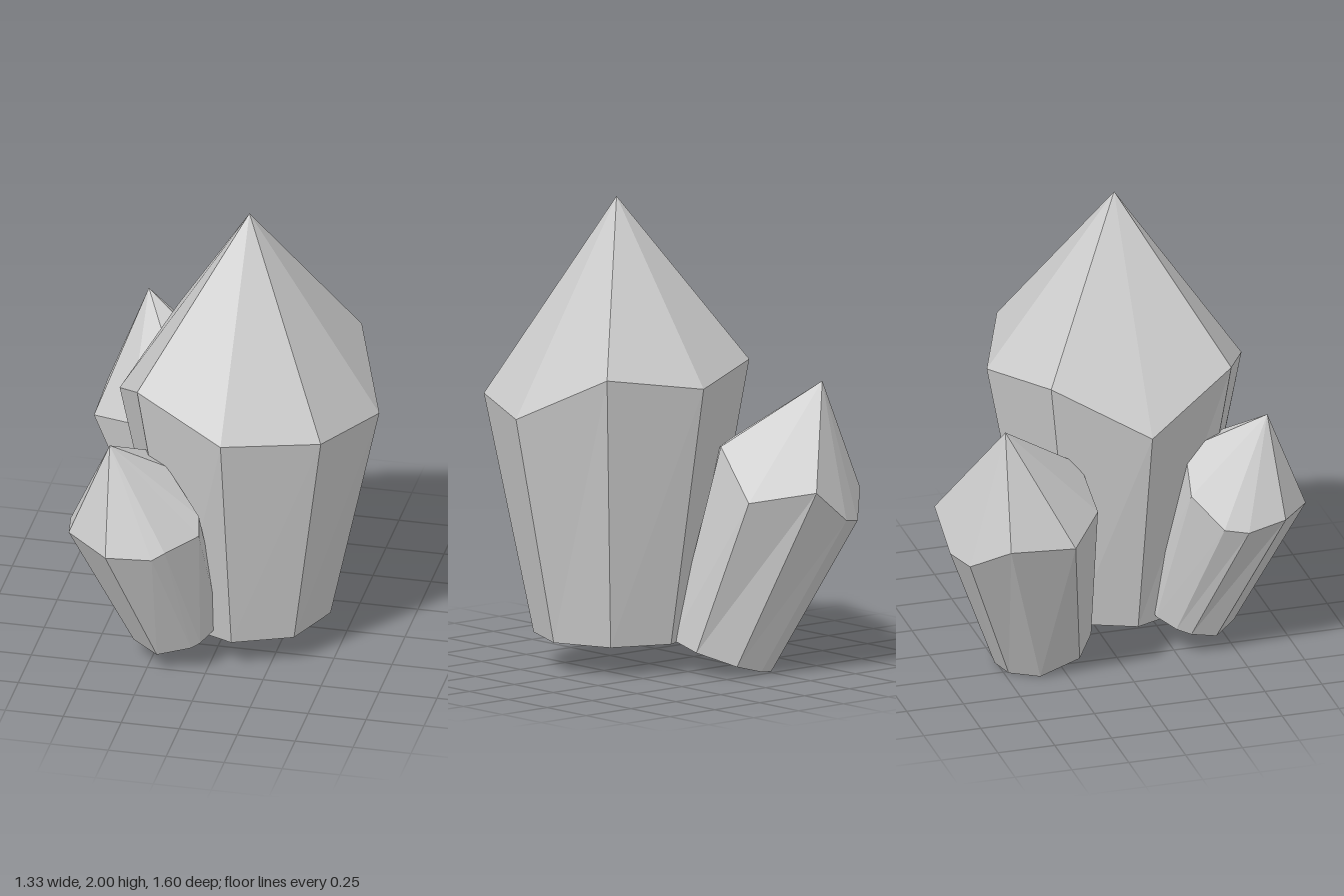
import * as THREE from 'three';

const material = new THREE.MeshStandardMaterial({ color: 0xcccccc, flatShading: true });

// A crystal: a tilted flat foot, an uneven shoulder ring and a pointed tip.
// The ring runs counter-clockwise seen from above; the foot corners lie below the ring corners.
function crystal(name, { apex, ring, foot, radius, tilt }) {
  const n = ring.length;
  const cx = ring.reduce((s, p) => s + p[0], 0) / n;
  const cz = ring.reduce((s, p) => s + p[2], 0) / n;
  const base = ring.map(([x, , z]) => {
    const k = radius / Math.hypot(x - cx, z - cz);
    const dx = (x - cx) * k, dz = (z - cz) * k;
    return [foot[0] + dx, foot[1] + tilt[0] * dx + tilt[1] * dz, foot[2] + dz];
  });
  const pos = [];
  const tri = (...corners) => corners.forEach((c) => pos.push(...c));
  for (let i = 0; i < n; i++) {
    const j = (i + 1) % n;
    tri(base[i], base[j], ring[j]); // side
    tri(base[i], ring[j], ring[i]);
    tri(ring[i], ring[j], apex); // tip
    tri(foot, base[j], base[i]); // underside
  }
  const geometry = new THREE.BufferGeometry();
  geometry.setAttribute('position', new THREE.Float32BufferAttribute(pos, 3));
  geometry.computeVertexNormals();
  const mesh = new THREE.Mesh(geometry, material);
  mesh.name = name;
  return mesh;
}

export function createModel() {
  const group = new THREE.Group();
  group.name = 'crystalCluster';

  // Large upright crystal: regular octagon with uneven shoulder heights
  const heights = [1.175, 1.15, 1.11, 1.31, 1.25, 1.31, 1.1, 1.305];
  group.add(crystal('mainCrystal', {
    apex: [0.1, 2, 0.093],
    ring: heights.map((y, i) => {
      const a = (i * Math.PI) / 4;
      return [0.1 + 0.56 * Math.sin(a), y, 0.093 + 0.56 * Math.cos(a)];
    }),
    foot: [0.1, 0.13, 0.093],
    radius: 0.35,
    tilt: [0, 0],
  }));

  // Medium crystal leaning to the back
  group.add(crystal('backCrystal', {
    apex: [-0.48, 1.23, -0.56],
    ring: [
      [-0.24, 0.92, -0.16], [-0.08, 0.97, -0.37], [-0.01, 0.77, -0.63],
      [-0.24, 0.81, -0.8], [-0.42, 0.67, -0.785], [-0.53, 0.65, -0.73],
      [-0.665, 0.755, -0.59], [-0.66, 0.735, -0.305], [-0.47, 0.8, -0.15],
    ],
    foot: [-0.14, 0.07, -0.305],
    radius: 0.215,
    tilt: [0.25, 0.22],
  }));

  // Small crystal leaning to the front
  group.add(crystal('frontCrystal', {
    apex: [-0.385, 1.11, 0.62],
    ring: [
      [-0.365, 0.665, 0.795], [-0.17, 0.665, 0.775], [-0.12, 0.69, 0.745],
      [-0.005, 0.71, 0.6], [-0.015, 0.78, 0.555], [-0.17, 0.96, 0.48],
      [-0.25, 0.93, 0.3], [-0.44, 0.8, 0.27], [-0.56, 0.68, 0.38],
      [-0.585, 0.665, 0.48], [-0.555, 0.69, 0.65],
    ],
    foot: [-0.15, 0.14, 0.345],
    radius: 0.19,
    tilt: [0.25, -0.25],
  }));

  return group;
}
